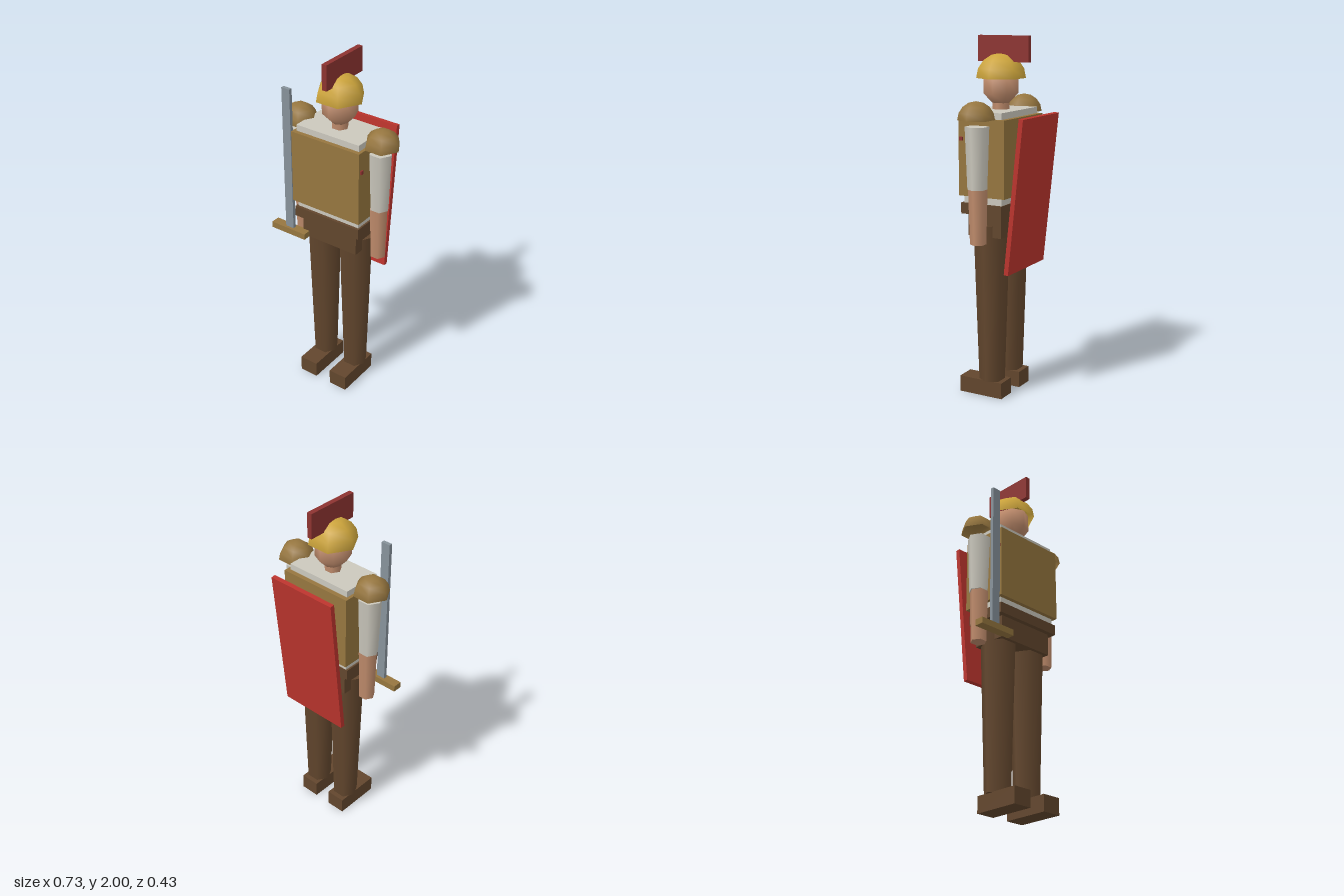
import * as THREE from 'three';

export function createModel() {
  const model = new THREE.Group();
  const paint = (name, color) => {
    const m = new THREE.MeshStandardMaterial({ color });
    m.name = name;
    return m;
  };
  const gold = paint('gold', 0xcda53c);
  const bronze = paint('bronze', 0x96763f);
  const leather = paint('brown leather', 0x62462d);
  const cloth = paint('off-white cloth', 0xcbc8bd);
  const skin = paint('skin', 0xc08c6c);
  const red = paint('red', 0xbb342d);
  const darkRed = paint('dark red', 0x8d3330);
  const steel = paint('steel', 0x87929a);
  gold.side = bronze.side = THREE.DoubleSide; // open domes

  const Z = 0.035; // body axis

  const add = (name, geometry, material, x, y, z) => {
    const mesh = new THREE.Mesh(geometry, material);
    mesh.name = name;
    mesh.position.set(x, y, z);
    model.add(mesh);
    return mesh;
  };
  // Box given by its limits on each axis
  const box = (name, material, x0, x1, y0, y1, z0, z1) =>
    add(name, new THREE.BoxGeometry(x1 - x0, y1 - y0, z1 - z0), material,
      (x0 + x1) / 2, (y0 + y1) / 2, (z0 + z1) / 2);
  // Six-sided tapered limb with corners pointing sideways
  const limb = (name, material, x, y0, y1, rBottom, rTop) =>
    add(name, new THREE.CylinderGeometry(rTop, rBottom, y1 - y0, 6).rotateY(Math.PI / 2),
      material, x, (y0 + y1) / 2, Z);
  // Six-sided half sphere
  const dome = (name, material, x, y, r) =>
    add(name, new THREE.SphereGeometry(r, 6, 4, 0, Math.PI * 2, 0, Math.PI / 2), material, x, y, Z);

  // Head, helmet and crest
  const skull = [[0, 1.64], [0.05, 1.64], [0.1, 1.69], [0.1, 1.79], [0, 1.84]]
    .map(([r, y]) => new THREE.Vector2(r, y));
  add('head', new THREE.LatheGeometry(skull, 8), skin, 0, 0, Z).scale.x = 0.93;
  limb('neck', skin, 0, 1.59, 1.68, 0.046, 0.046);
  dome('helmet', gold, 0, 1.772, 0.135);
  box('crest', darkRed, -0.0145, 0.0145, 1.86, 2, -0.14, 0.17);

  // Torso
  box('shirt', cloth, -0.2, 0.2, 1.1, 1.605, -0.08, 0.15);
  box('cuirass', bronze, -0.2175, 0.2175, 1.15, 1.57, -0.106, 0.174);
  box('chestStrap', darkRed, -0.227, 0.227, 1.45, 1.47, 0.145, 0.165);
  box('belt', leather, -0.21, 0.21, 1.05, 1.11, -0.084, 0.166);
  box('hips', leather, -0.178, 0.178, 0.925, 1.05, -0.065, 0.14);

  // Limbs, mirrored
  for (const [side, s] of [['left', 1], ['right', -1]]) {
    dome(side + 'ShoulderGuard', bronze, s * 0.265, 1.57, 0.099);
    limb(side + 'Sleeve', cloth, s * 0.257, 1.2, 1.535, 0.053, 0.065);
    limb(side + 'Forearm', skin, s * 0.252, 0.9, 1.2, 0.044, 0.052);
    limb(side + 'Leg', leather, s * 0.106, 0.09, 0.99, 0.072, 0.1);
    box(side + 'Boot', leather, s * 0.105 - 0.056, s * 0.105 + 0.056, 0, 0.092, -0.055, 0.213);
  }

  // Sword in the right hand
  box('swordBlade', steel, -0.277, -0.225, 0.95, 1.805, 0.15, 0.17);
  box('swordGuard', bronze, -0.365, -0.137, 0.925, 0.96, 0.133, 0.186);

  // Slanted shield on the back
  add('backShield', new THREE.BoxGeometry(0.416, 0.85, 0.026), red, 0, 1.157, -0.155)
    .rotation.x = -0.105;

  return model;
}
